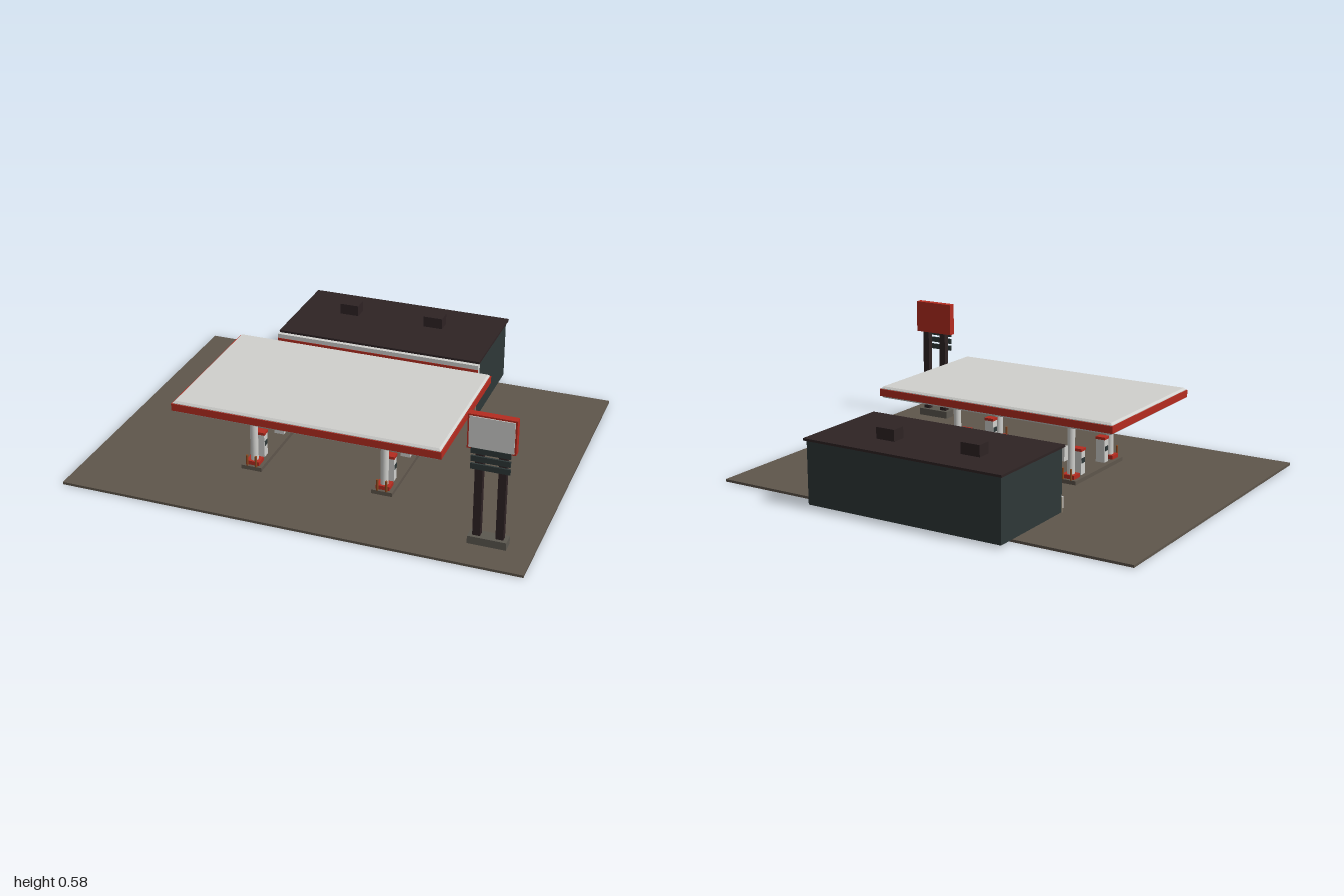
import * as THREE from 'three';

const mat = (name, color) => {
  const m = new THREE.MeshStandardMaterial({ color });
  m.name = name;
  return m;
};

export function createModel() {
  const root = new THREE.Group();
  root.name = 'fuelStation';

  const asphalt = mat('asphalt', 0x5f564c);
  const white = mat('white', 0xd0d0cd);
  const red = mat('red', 0xb52c20);
  const roofBrown = mat('darkBrown', 0x2e2324);
  const wallGreen = mat('darkGreen', 0x2e3838);
  const beige = mat('beige', 0x8f806c);
  const concrete = mat('concrete', 0x5c5850);
  const rust = mat('rustOrange', 0x8c4a20);

  const group = (name, parent = root) => {
    const g = new THREE.Group();
    g.name = name;
    parent.add(g);
    return g;
  };
  // Box given by its lower and upper limits on each axis
  const box = (parent, name, m, [x0, x1], [y0, y1], [z0, z1]) => {
    const mesh = new THREE.Mesh(new THREE.BoxGeometry(x1 - x0, y1 - y0, z1 - z0), m);
    mesh.position.set((x0 + x1) / 2, (y0 + y1) / 2, (z0 + z1) / 2);
    mesh.name = name;
    parent.add(mesh);
    return mesh;
  };
  const cylinder = (parent, name, m, r, x, z, y0, y1) => {
    const mesh = new THREE.Mesh(new THREE.CylinderGeometry(r, r, y1 - y0, 16), m);
    mesh.position.set(x, (y0 + y1) / 2, z);
    mesh.name = name;
    parent.add(mesh);
  };

  // Forecourt slab
  box(root, 'forecourt', asphalt, [-1, 1], [0.001, 0.012], [-0.715, 0.81]);

  // Shop
  const shop = group('shop');
  box(shop, 'walls', wallGreen, [-0.47, 0.47], [0.014, 0.292], [-0.802, -0.335]);
  box(shop, 'roof', roofBrown, [-0.48, 0.48], [0.292, 0.302], [-0.813, -0.326]);
  box(shop, 'fascia', white, [-0.48, 0.48], [0.232, 0.292], [-0.335, -0.306]);
  box(shop, 'fasciaStripe', red, [-0.48, 0.48], [0.25, 0.272], [-0.306, -0.304]);
  box(shop, 'frontPlinth', beige, [-0.47, 0.47], [0.012, 0.077], [-0.335, -0.328]);
  for (const x of [-0.445, -0.2, 0.2, 0.445]) {
    box(shop, 'windowMullion', roofBrown, [x - 0.002, x + 0.002], [0.077, 0.205], [-0.335, -0.331]);
  }
  for (const x of [-0.238, 0.175]) {
    box(shop, 'roofVent', roofBrown, [x - 0.045, x + 0.045], [0.3, 0.352], [-0.66, -0.596]);
  }
  box(shop, 'iceChest', white, [-0.446, -0.366], [0.012, 0.063], [-0.32, -0.277]);

  // Canopy with bevelled rim and red band
  const canopy = group('canopy');
  const bevel = 0.008, hx = 0.584, hz = 0.35;
  const outline = new THREE.Shape();
  outline.moveTo(-hx + bevel, -hz + bevel);
  outline.lineTo(hx - bevel, -hz + bevel);
  outline.lineTo(hx - bevel, hz - bevel);
  outline.lineTo(-hx + bevel, hz - bevel);
  const slab = new THREE.Mesh(new THREE.ExtrudeGeometry(outline, {
    depth: 0.052 - 2 * bevel, bevelEnabled: true, bevelSize: bevel, bevelThickness: bevel, bevelSegments: 1,
  }), white);
  slab.name = 'canopySlab';
  slab.rotation.x = -Math.PI / 2;
  slab.position.set(0, 0.305 + bevel, 0.224);
  canopy.add(slab);
  box(canopy, 'canopyBand', red, [-0.589, 0.589], [0.314, 0.346], [-0.13, 0.578]);

  // Pump islands with columns, pumps and bollards
  for (const x of [-0.295, 0.293]) {
    const island = group('pumpIsland');
    box(island, 'kerb', asphalt, [x - 0.046, x + 0.046], [0.012, 0.03], [0.01, 0.442]);
    for (const z of [0.05, 0.403]) {
      cylinder(island, 'column', white, 0.017, x, z, 0, 0.307);
      box(island, 'columnBase', red, [x - 0.03, x + 0.03], [0.03, 0.048], [z - 0.026, z + 0.026]);
    }
    for (const z of [0.118, 0.331]) {
      const pump = group('pump', island);
      box(pump, 'pumpBody', white, [x - 0.022, x + 0.022], [0.03, 0.136], [z - 0.017, z + 0.017]);
      box(pump, 'pumpCap', red, [x - 0.024, x + 0.024], [0.136, 0.148], [z - 0.02, z + 0.02]);
      for (const s of [-1, 1]) {
        const px = x + s * 0.0225;
        box(pump, 'pumpScreen', wallGreen, [px - 0.0015, px + 0.0015], [0.083, 0.105], [z - 0.013, z + 0.013]);
      }
    }
    for (const z of [0.015, 0.437]) {
      for (const s of [-1, 1]) cylinder(island, 'bollard', rust, 0.005, x + s * 0.02, z, 0.012, 0.08);
    }
  }

  // Roadside price sign
  const sign = group('priceSign');
  box(sign, 'signBase', concrete, [0.73, 0.89], [0.012, 0.046], [0.61, 0.667]);
  for (const x of [0.763, 0.858]) {
    box(sign, 'signPost', roofBrown, [x - 0.016, x + 0.016], [0.046, 0.45], [0.625, 0.652]);
  }
  box(sign, 'signCabinet', red, [0.712, 0.908], [0.435, 0.584], [0.622, 0.654]);
  box(sign, 'signPanel', white, [0.719, 0.901], [0.442, 0.577], [0.654, 0.658]);
  for (const y of [0.43, 0.395, 0.361]) {
    box(sign, 'priceSlat', wallGreen, [0.73, 0.89], [y - 0.012, y + 0.012], [0.652, 0.66]);
  }

  return root;
}
